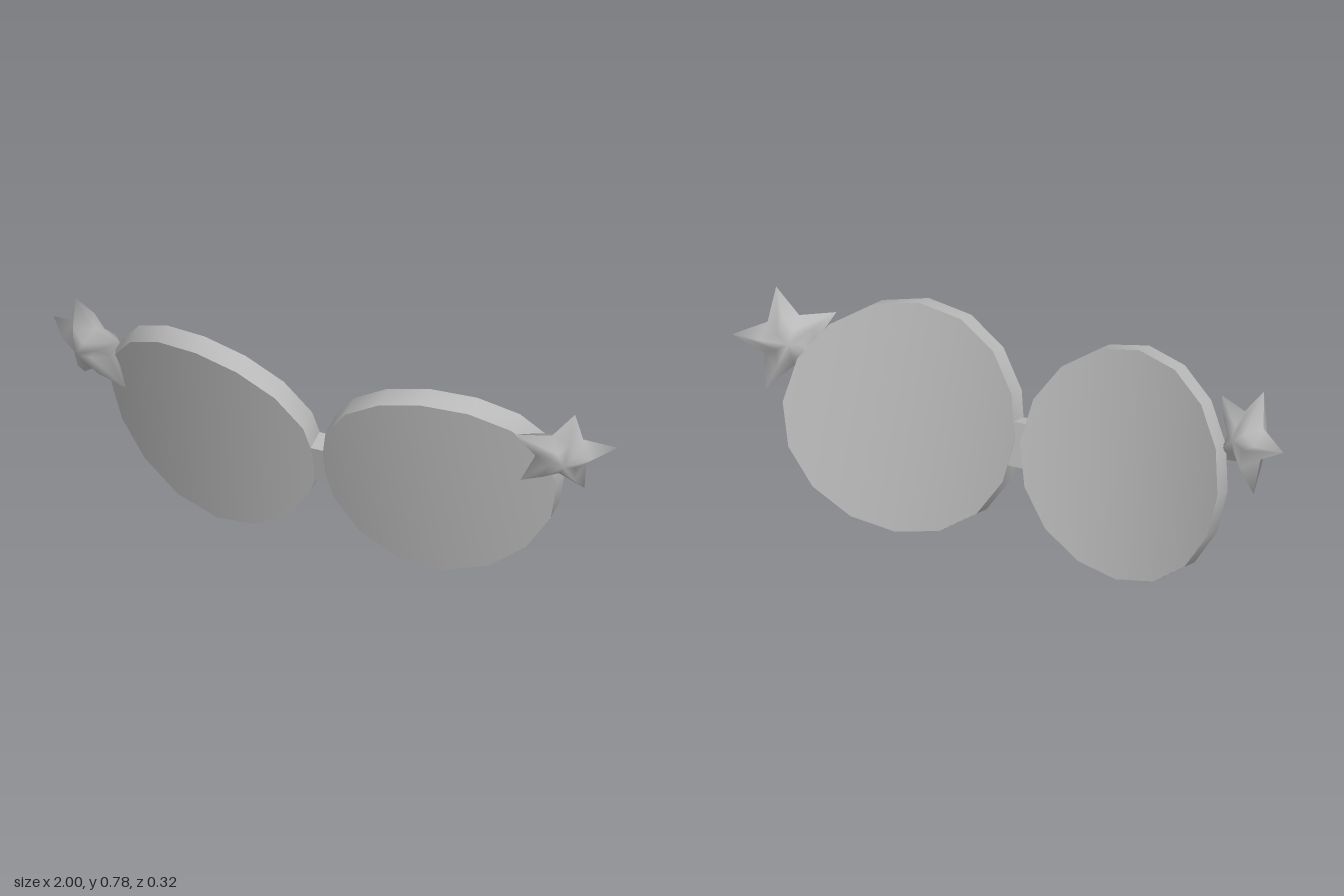
import * as THREE from 'three';
import { toCreasedNormals } from 'three/addons/utils/BufferGeometryUtils.js';

const TILT = 0.23; // the whole frame leans forward at the top

function makeGeometry(points, faces, flip) {
  const g = new THREE.BufferGeometry();
  g.setAttribute('position', new THREE.Float32BufferAttribute(points.flat(), 3));
  g.setIndex(faces.flatMap(([a, b, c]) => (flip ? [a, c, b] : [a, b, c])));
  g.computeVertexNormals();
  return g;
}

// Sixteen-sided disc that curves backwards towards its outer side
function lensGeometry(side) {
  const R = 0.39, N = 16, depth = 0.079, points = [], faces = [];
  for (const back of [0, depth]) {
    for (let i = 0; i < N; i++) {
      const a = (i / N) * Math.PI * 2;
      const x = 0.4 + R * Math.cos(a);
      points.push([side * x, R * Math.sin(a), -0.43 * (x - 0.2) ** 2 - back]);
    }
  }
  // rim
  for (let i = 0; i < N; i++) {
    const j = (i + 1) % N;
    faces.push([i, i + N, j], [j, i + N, j + N]);
  }
  // front and back faces in vertical strips
  for (let i = 0; i < N / 2; i++) {
    const t0 = i, t1 = i + 1, b0 = (N - i) % N, b1 = N - i - 1;
    const strip = [];
    if (t0 !== b0) strip.push([t0, t1, b0]);
    if (t1 !== b1) strip.push([t1, b1, b0]);
    for (const [a, b, c] of strip) faces.push([a, b, c], [a + N, c + N, b + N]);
  }
  return toCreasedNormals(makeGeometry(points, faces, side < 0), 0.6);
}

// One domed half of a puffy five-pointed star; face is 1 for front, -1 for back
function starHalfGeometry(side, face) {
  const points = [], faces = [], N = 10;
  const v = new THREE.Vector3(0, Math.cos(TILT), Math.sin(TILT));
  const n = new THREE.Vector3(0.42, -0.2, 0.885).normalize();
  const u = new THREE.Vector3().crossVectors(v, n);
  const frame = new THREE.Matrix4().makeBasis(u, v, n).setPosition(0.835, 0.592, -0.005);
  const add = (x, y, z) => {
    const p = new THREE.Vector3(x, y, z * face).applyMatrix4(frame);
    points.push([side * p.x, p.y, p.z]);
  };
  for (const [scale, height] of [[1, 0], [0.5, 0.048]]) {
    for (let i = 0; i < N; i++) {
      const a = (i / N) * Math.PI * 2, r = scale * (i % 2 ? 0.09 : 0.183);
      add(r * Math.cos(a), r * Math.sin(a), height);
    }
  }
  add(0, 0, 0.068);
  for (let i = 0; i < N; i++) {
    const j = (i + 1) % N;
    faces.push([i, j, i + N], [j, j + N, i + N], [i + N, j + N, 2 * N]);
  }
  return makeGeometry(points, faces, side * face < 0);
}

export function createModel() {
  const model = new THREE.Group();
  const grey = new THREE.MeshStandardMaterial({ color: 0xb8b8b8 });
  grey.name = 'plain grey';

  const add = (name, geometry, parent = model) => {
    const mesh = new THREE.Mesh(geometry, grey);
    mesh.name = name;
    parent.add(mesh);
    return mesh;
  };

  // Lenses and bridge share the forward lean
  const frame = new THREE.Group();
  frame.name = 'frame';
  frame.position.set(0, 0.382, 0.083);
  frame.rotation.x = TILT;
  model.add(frame);

  for (const [label, side] of [['left', 1], ['right', -1]]) {
    add(label + 'Lens', lensGeometry(side), frame);

    const star = new THREE.Group();
    star.name = label + 'Star';
    model.add(star);
    add(label + 'StarFront', starHalfGeometry(side, 1), star);
    add(label + 'StarBack', starHalfGeometry(side, -1), star);
  }

  // Small bridge between the lenses
  const bridge = add('bridge', new THREE.BoxGeometry(0.056, 0.15, 0.076), frame);
  bridge.position.set(0, -0.015, -0.052);

  return model;
}
